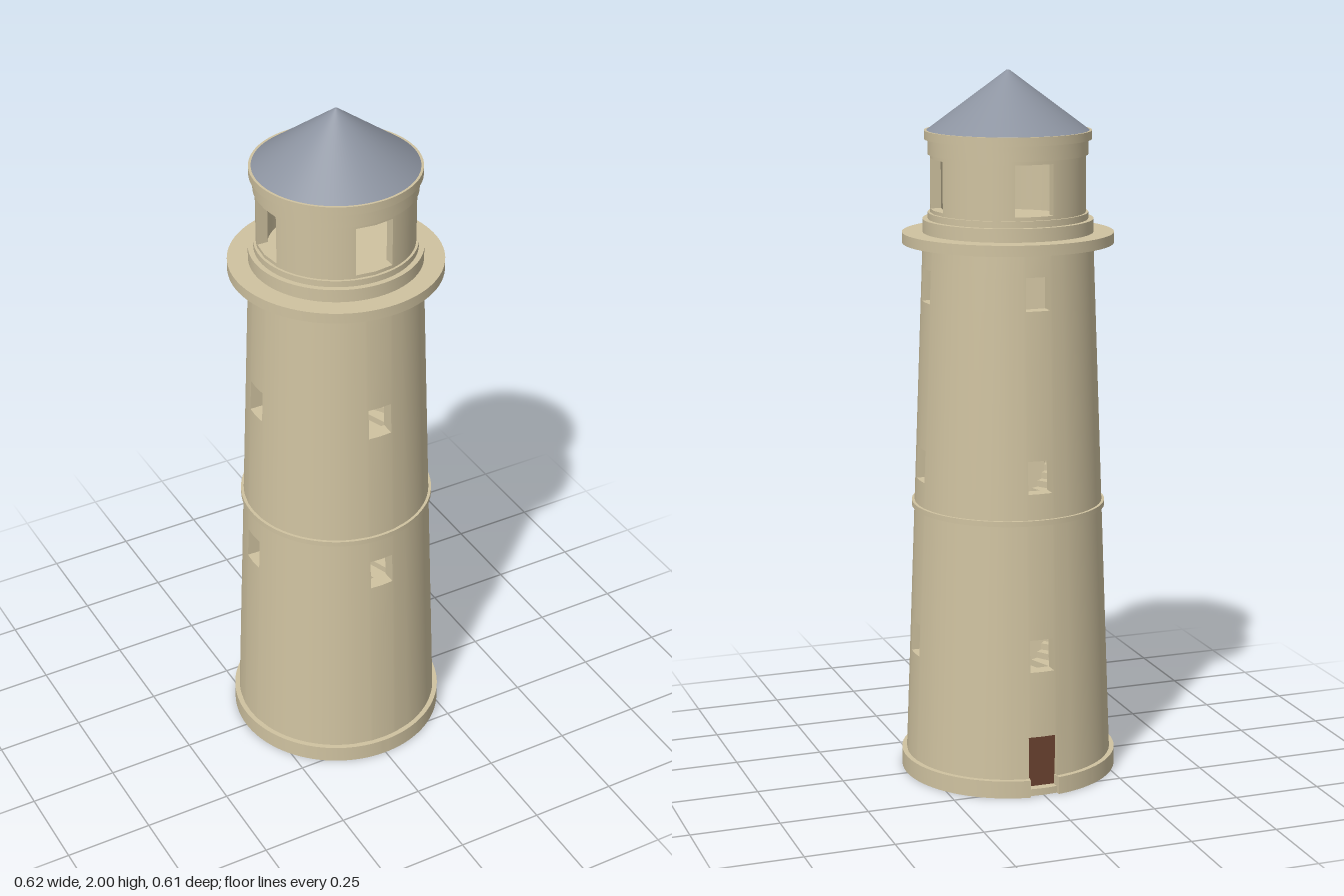
import * as THREE from 'three';
import { toCreasedNormals } from 'three/addons/utils/BufferGeometryUtils.js';

const stone = new THREE.MeshStandardMaterial({ color: 0xcfc2a0 });
const slate = new THREE.MeshStandardMaterial({ color: 0x8c93a0, side: THREE.DoubleSide });
const wood = new THREE.MeshStandardMaterial({ color: 0x6b4230 });
const SEG = 96;
const towerRadius = (y) => 0.296 - 0.038 * y;

function add(parent, name, geometry, material = stone) {
  const mesh = new THREE.Mesh(geometry, material);
  mesh.name = name;
  parent.add(mesh);
  return mesh;
}

// Closed ring with a rectangular section; r0 = 0 gives a solid disc
function ring(r0, r1, y0, y1) {
  const pts = [[r0, y0], [r1, y0], [r1, y1], [r0, y1]];
  if (r0 > 0) pts.push([r0, y0]);
  const lathe = new THREE.LatheGeometry(pts.map(([r, y]) => new THREE.Vector2(r, y)), SEG);
  return toCreasedNormals(lathe, 0.6);
}

// Flat ring sector between two angles, thickened upwards
function sector(r0, r1, from, to, height) {
  const shape = new THREE.Shape();
  shape.absarc(0, 0, r1, from, to, false);
  shape.absarc(0, 0, r0, to, from, true);
  const geo = new THREE.ExtrudeGeometry(shape, { depth: height, bevelEnabled: false, curveSegments: SEG });
  return toCreasedNormals(geo.rotateX(-Math.PI / 2), 0.6);
}

// Round wall with thickness and straight-sided openings.
// openings: { side (quarter turn from the front), hw (half width), y0, y1 }
function roundWall(radius, thick, bottom, top, openings) {
  const widths = [...new Set(openings.map((o) => o.hw))].sort((a, b) => a - b);
  const offsets = [...widths.map((w) => -w).reverse(), 0, ...widths];
  const columns = [];
  for (let side = 0; side < 4; side++) {
    for (const w of offsets) columns.push({ side, w, angle: (r) => side * Math.PI / 2 + Math.asin(w / r) });
    for (let d = 18; d <= 72; d += 4.5) {
      const a = side * Math.PI / 2 + THREE.MathUtils.degToRad(d);
      columns.push({ side, w: 9, angle: () => a });
    }
  }
  const rows = [...new Set([bottom, top, ...openings.flatMap((o) => [o.y0, o.y1])])].sort((a, b) => a - b);
  const n = columns.length;
  const solid = (i, j) => {
    if (j < 0 || j >= rows.length - 1) return false;
    const c = columns[(i + n) % n];
    return !openings.some((o) => o.side === c.side && c.w >= -o.hw && c.w < o.hw
      && rows[j] >= o.y0 && rows[j] < o.y1);
  };
  const point = (i, j, inner) => {
    const r = radius(rows[j]) - (inner ? thick : 0);
    const a = columns[i % n].angle(r);
    return [r * Math.sin(a), rows[j], r * Math.cos(a)];
  };
  const pos = [];
  const quad = (a, b, c, d) => pos.push(...a, ...b, ...c, ...a, ...c, ...d);
  for (let i = 0; i < n; i++) {
    for (let j = 0; j < rows.length - 1; j++) {
      if (!solid(i, j)) continue;
      const [a, b, c, d] = [[i, j], [i + 1, j], [i + 1, j + 1], [i, j + 1]].map((p) => point(...p, false));
      const [e, f, g, h] = [[i, j], [i + 1, j], [i + 1, j + 1], [i, j + 1]].map((p) => point(...p, true));
      quad(a, b, c, d);
      quad(f, e, h, g);
      if (!solid(i + 1, j)) quad(b, f, g, c);
      if (!solid(i - 1, j)) quad(e, a, d, h);
      if (!solid(i, j + 1)) quad(d, c, g, h);
      if (!solid(i, j - 1)) quad(e, f, b, a);
    }
  }
  const geo = new THREE.BufferGeometry();
  geo.setAttribute('position', new THREE.Float32BufferAttribute(pos, 3));
  return toCreasedNormals(geo, 0.6);
}

export function createModel() {
  const model = new THREE.Group();
  model.name = 'lighthouse';

  // Foundation, open in front of the door at the back
  const gap = Math.asin(0.042 / 0.31);
  add(model, 'groundFloor', ring(0, 0.296, 0, 0.02));
  add(model, 'baseRing', sector(0.28, 0.308, Math.PI / 2 + gap, Math.PI * 2.5 - gap, 0.05));

  // Tapered tower: windows climb with the stair
  const openings = [{ side: 2, hw: 0.042, y0: 0.02, y1: 0.17 }];
  for (const side of [0, 3]) {
    for (const y of [0.61, 1.115]) openings.push({ side, hw: 0.035, y0: y, y1: y + 0.092 });
  }
  for (const side of [1, 2]) {
    for (const y of [0.357, 0.862, 1.367]) openings.push({ side, hw: 0.035, y0: y, y1: y + 0.092 });
  }
  add(model, 'towerWall', roundWall(towerRadius, 0.04, 0, 1.53, openings));
  add(model, 'beltCourse', ring(0.25, 0.274, 0.775, 0.79));

  const door = add(model, 'door', new THREE.BoxGeometry(0.084, 0.15, 0.012), wood);
  door.position.set(0, 0.095, -0.265);

  // Spiral stair along the inside of the wall
  const stair = new THREE.Group();
  stair.name = 'spiralStair';
  model.add(stair);
  const perTurn = 28;
  for (let i = 0; i < 70; i++) {
    const y = 0.025 + i * 0.505 / perTurn;
    const half = Math.PI / perTurn;
    const shape = new THREE.Shape();
    const r1 = towerRadius(y) - 0.03;
    shape.absarc(0, 0, r1, -Math.PI / 2 - half, -Math.PI / 2 + half, false);
    shape.absarc(0, 0, 0.105, -Math.PI / 2 + half, -Math.PI / 2 - half, true);
    const geo = new THREE.ExtrudeGeometry(shape, { depth: 0.02, bevelEnabled: false, curveSegments: 3 });
    const step = add(stair, 'step', geo.rotateX(-Math.PI / 2));
    step.position.y = y;
    step.rotation.y = i * 2 * half;
  }

  // Gallery and lantern room
  add(model, 'gallery', ring(0, 0.295, 1.525, 1.555));
  add(model, 'lanternPlinth', ring(0, 0.238, 1.555, 1.592));
  add(model, 'lanternFootBand', ring(0.19, 0.223, 1.592, 1.61));
  const lanternOpenings = [0, 1, 2, 3].map((side) => ({ side, hw: 0.055, y0: 1.62, y1: 1.76 }));
  add(model, 'lanternWall', roundWall(() => 0.216, 0.03, 1.59, 1.82, lanternOpenings));
  add(model, 'lanternHeadBand', ring(0.19, 0.222, 1.77, 1.815));
  add(model, 'cornice', ring(0.19, 0.232, 1.812, 1.836));

  // Conical roof, hollow below
  const roof = add(model, 'roof', new THREE.CylinderGeometry(0.004, 0.225, 0.164, SEG, 1, true), slate);
  roof.position.y = 1.918;
  const tip = add(model, 'roofTip', new THREE.CircleGeometry(0.004, 16).rotateX(-Math.PI / 2), slate);
  tip.position.y = 2;
  return model;
}
